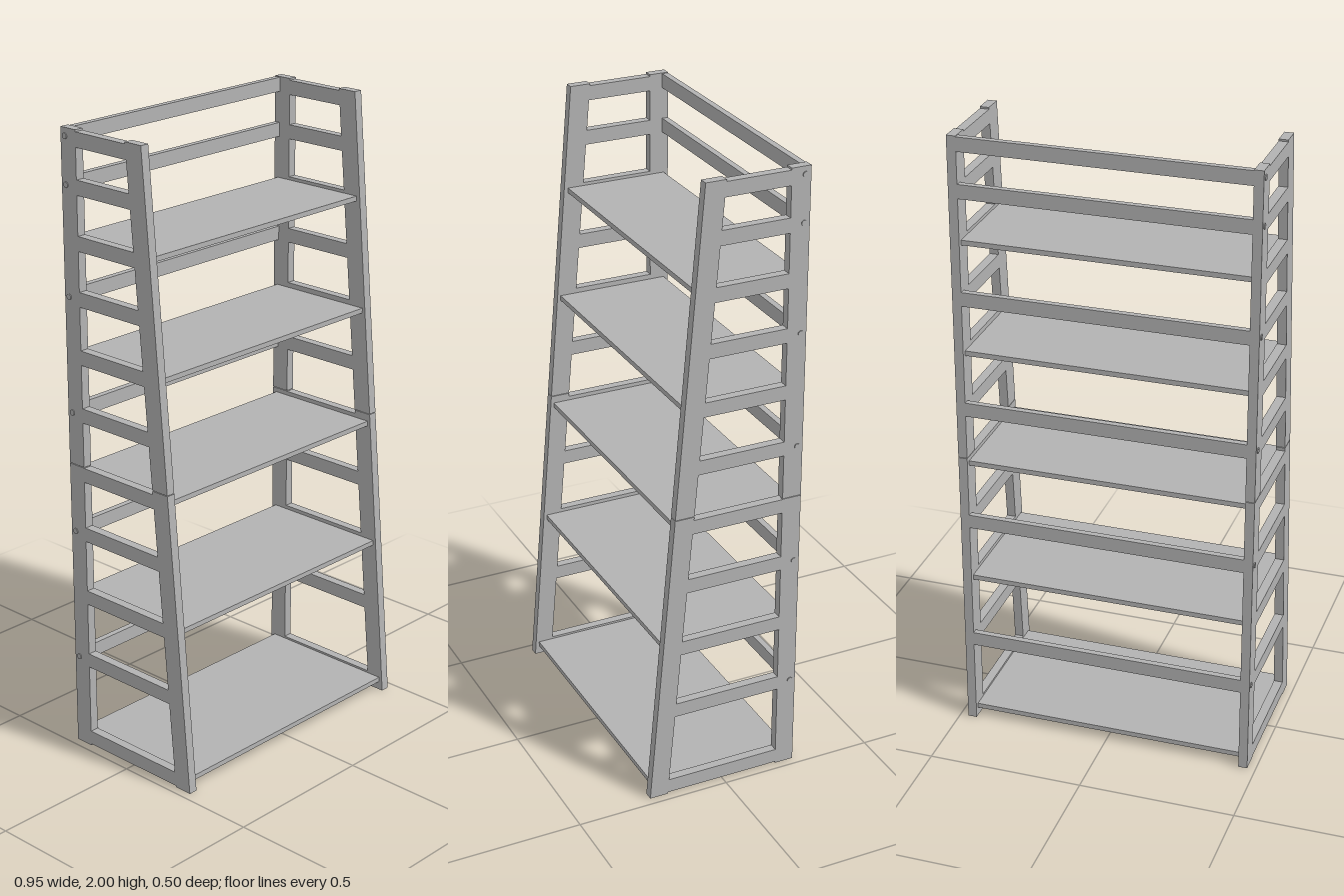
import * as THREE from 'three';

const INNER = 0.444, OUTER = 0.473;
const legBack = (y) => 0.19 - 0.0875 * y;   // sloping rear edge of the front leg
const legFront = (y) => 0.25 - 0.085 * y;   // sloping front edge of the front leg

export function createModel() {
  const group = new THREE.Group();
  const grey = new THREE.MeshStandardMaterial({ color: 0xb2b2b2 });
  grey.name = 'grey';

  const add = (name, geometry, parent = group) => {
    const mesh = new THREE.Mesh(geometry, grey);
    mesh.name = name;
    parent.add(mesh);
    return mesh;
  };
  const box = (name, x0, x1, y0, y1, z0, z1) => {
    const g = new THREE.BoxGeometry(x1 - x0, y1 - y0, z1 - z0);
    g.translate((x0 + x1) / 2, (y0 + y1) / 2, (z0 + z1) / 2);
    return add(name, g);
  };

  // Side panel piece: four-cornered profile between two heights
  const sidePiece = (name, parent, side, y0, y1, back, front) => {
    const shape = new THREE.Shape([
      [back(y0), y0], [front(y0), y0], [front(y1), y1], [back(y1), y1],
    ].map(([z, y]) => new THREE.Vector2(-z, y)));
    const g = new THREE.ExtrudeGeometry(shape, { depth: OUTER - INNER, bevelEnabled: false });
    g.rotateY(Math.PI / 2);
    g.translate(side > 0 ? INNER : -OUTER, 0, 0);
    add(name, g, parent);
  };

  const rungs = [0.028, 0.302, 0.52, 0.733, 0.93, 1.123, 1.307, 1.489, 1.66, 1.829, 1.971];
  const backRails = [0.302, 0.733, 1.123, 1.489, 1.83, 1.975];

  for (const side of [-1, 1]) {
    const panel = new THREE.Group();
    panel.name = side > 0 ? 'leftSide' : 'rightSide';
    group.add(panel);

    // Posts and legs, each in a lower and an upper section
    const rear = () => -0.25, post = () => -0.188;
    sidePiece('lowerBackPost', panel, side, 0, 0.954, rear, post);
    sidePiece('upperBackPost', panel, side, 0.956, 2, rear, post);
    sidePiece('lowerFrontLeg', panel, side, 0, 0.964, legBack, legFront);
    sidePiece('upperFrontLeg', panel, side, 0.966, 2, legBack, legFront);

    // Side rungs, cut to the slope of the front leg
    rungs.forEach((y) => sidePiece('sideRung', panel, side, y - 0.023, y + 0.023, post, legBack));

    // Bolt heads at the ends of the back rails
    backRails.forEach((y) => {
      const g = new THREE.CylinderGeometry(0.009, 0.009, 0.004, 16);
      g.rotateZ(Math.PI / 2);
      g.translate(side * (OUTER + 0.001), y, -0.232);
      add('boltHead', g, panel);
    });
  }

  // Back rails
  backRails.forEach((y) => box('backRail', -INNER, INNER, y - 0.0225, y + 0.0225, -0.25, -0.23));

  // Shelves, shallower towards the top
  [[0.036, 0.235], [0.523, 0.195], [0.932, 0.16], [1.306, 0.128], [1.665, 0.095]]
    .forEach(([y, front]) => box('shelf', -INNER, INNER, y - 0.008, y + 0.008, -0.235, front));

  return group;
}
